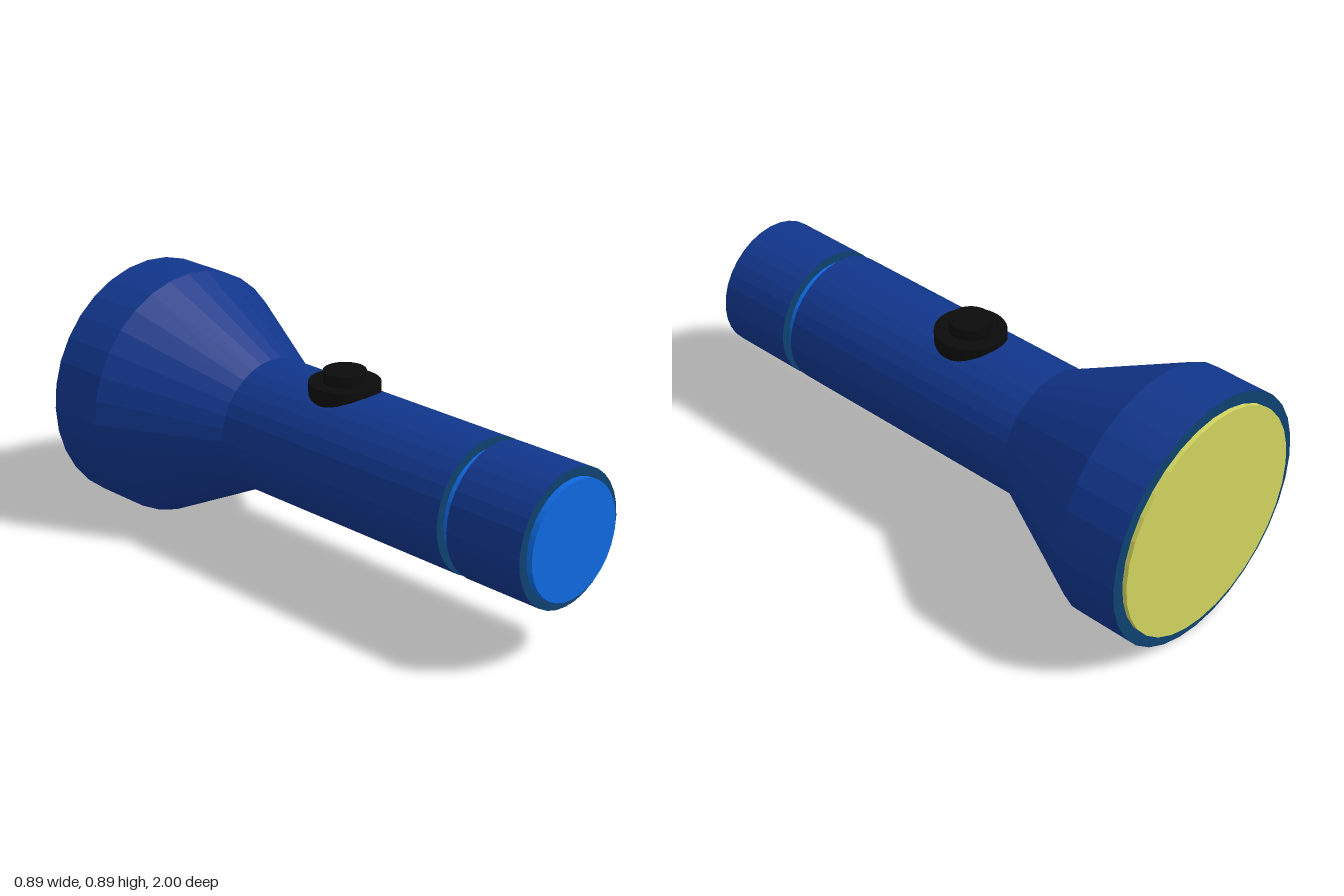
import * as THREE from 'three';

const AXIS_Y = 0.446;
const SIDES = 32;

function material(name, color, extra = {}) {
  const m = new THREE.MeshStandardMaterial({ color, flatShading: true, ...extra });
  m.name = name;
  return m;
}

export function createModel() {
  const navy = material('navy shell', 0x11358a);
  const teal = material('teal rim', 0x0e4170);
  const blue = material('bright blue', 0x0e68e0);
  const yellow = material('lens yellow', 0xd0d45f);
  const black = material('switch black', 0x0b0b0b);

  const group = new THREE.Group();
  group.name = 'flashlight';

  const add = (name, geometry, mat) => {
    const mesh = new THREE.Mesh(geometry, mat);
    mesh.name = name;
    group.add(mesh);
    return mesh;
  };

  // Round section along z, from z0 (radius r0) to z1 (radius r1), z0 < z1
  const section = (name, z0, r0, z1, r1, mat, open = true) => {
    const g = new THREE.CylinderGeometry(r1, r0, z1 - z0, SIDES, 1, open);
    g.rotateX(Math.PI / 2).translate(0, AXIS_Y, (z0 + z1) / 2);
    return add(name, g, mat);
  };

  // Flat annulus facing +z (dir 1) or -z (dir -1)
  const rim = (name, z, inner, outer, dir) => {
    const g = new THREE.RingGeometry(inner, outer, SIDES, 1, Math.PI / 2);
    if (dir < 0) g.rotateY(Math.PI);
    return add(name, g.translate(0, AXIS_Y, z), teal);
  };

  const R = 0.234, CORE = 0.202, HEAD = 0.445, LENS = 0.402;

  // Shell: head, flared neck, handle and tail cap
  section('head', -0.984, HEAD, -0.765, HEAD, navy);
  section('neck', -0.765, HEAD, -0.345, R, navy);
  section('handle', -0.345, R, 0.642, R, navy);
  section('tailCap', 0.682, R, 0.978, R, navy);

  // Exposed faces where the shell steps inwards
  rim('headRim', -0.984, LENS - 0.01, HEAD, -1);
  rim('grooveFrontWall', 0.642, CORE - 0.01, R, 1);
  rim('grooveBackWall', 0.682, CORE - 0.01, R, -1);
  rim('tailRim', 0.978, CORE - 0.01, R, 1);

  // Inner parts: lens, groove band and tail button
  section('lens', -1, LENS, -0.97, LENS, yellow, false);
  section('grooveBand', 0.63, CORE, 0.694, CORE, blue);
  section('tailButton', 0.96, CORE, 1, CORE, blue, false);

  // Switch: wide base sunk into the handle with a smaller button on top
  const disc = (name, radius, y0, y1) => {
    const g = new THREE.CylinderGeometry(radius, radius, y1 - y0, SIDES);
    add(name, g.translate(0, (y0 + y1) / 2, 0.01), black);
  };
  disc('switchBase', 0.122, 0.62, 0.7);
  disc('switchButton', 0.073, 0.69, 0.74);

  return group;
}
